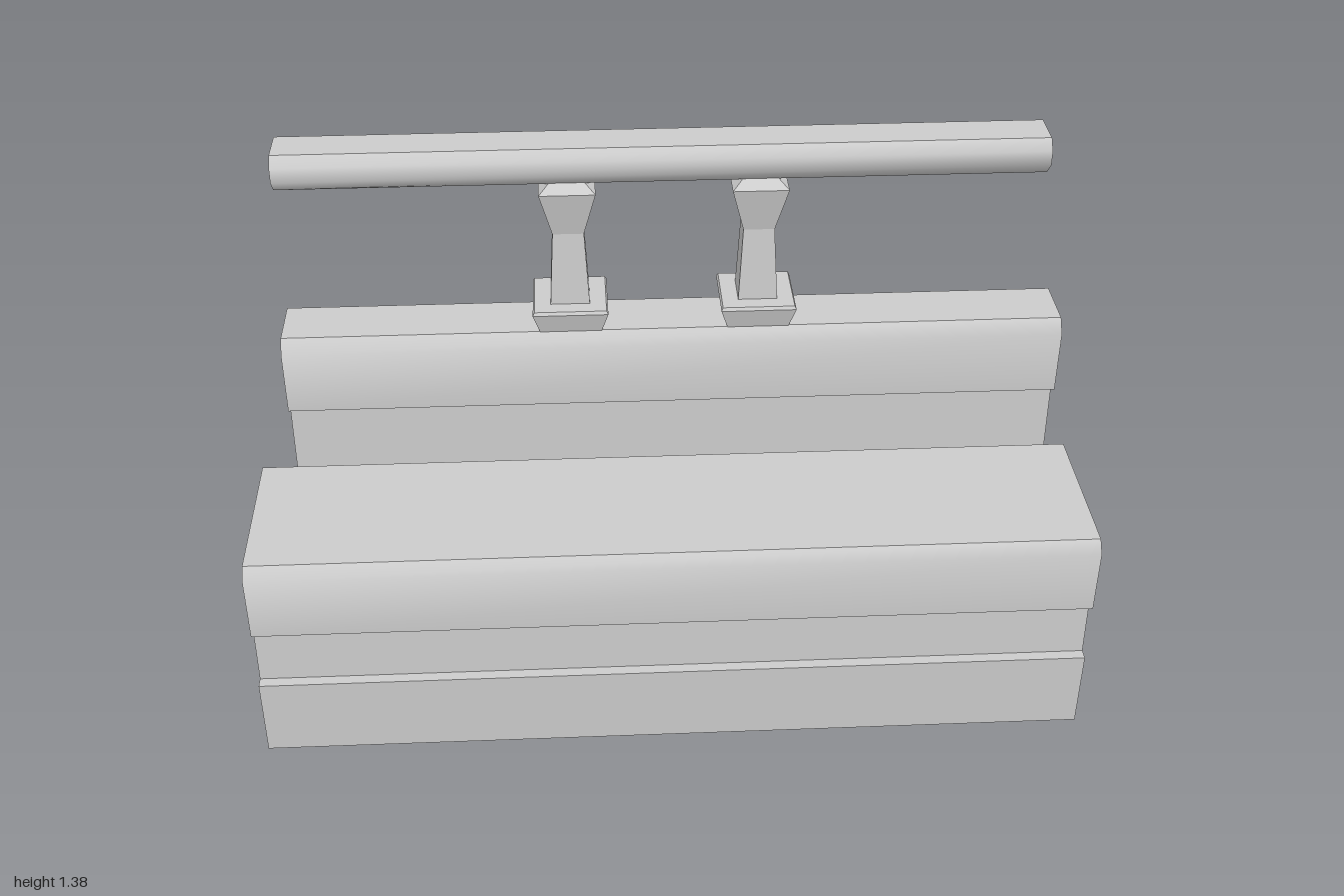
import * as THREE from 'three';
import { toCreasedNormals } from 'three/addons/utils/BufferGeometryUtils.js';

const material = new THREE.MeshStandardMaterial({ color: 0xcccccc });
const facetedMaterial = new THREE.MeshStandardMaterial({ color: 0xcccccc, flatShading: true });
const CREASE = THREE.MathUtils.degToRad(46);
const AXIS_Z = -0.211; // centre line of the back, posts and rail

// Sweeps a [z, y] side profile along x, rounding only the shallow corners
function sweep(name, profile, xMin, xMax) {
  const shape = new THREE.Shape(profile.map(([z, y]) => new THREE.Vector2(z, y)));
  const geometry = new THREE.ExtrudeGeometry(shape, { depth: xMax - xMin, bevelEnabled: false });
  geometry.rotateY(-Math.PI / 2).translate(xMax, 0, 0);
  const mesh = new THREE.Mesh(toCreasedNormals(geometry, CREASE), material);
  mesh.name = name;
  return mesh;
}

// Completes a [half depth, y] outline with its mirror image about the centre line
function mirrored(half) {
  return [
    ...half.map(([d, y]) => [AXIS_Z + d, y]),
    ...half.slice().reverse().map(([d, y]) => [AXIS_Z - d, y]),
  ];
}

// Square stepped solid from [half width, y] rings
function squareTurned(name, rings, x) {
  const points = rings.map(([r, y]) => new THREE.Vector2(r * Math.SQRT2, y));
  const geometry = new THREE.LatheGeometry(points, 4).rotateY(Math.PI / 4);
  const mesh = new THREE.Mesh(geometry, facetedMaterial);
  mesh.position.set(x, 0, AXIS_Z);
  mesh.name = name;
  return mesh;
}

export function createModel() {
  const model = new THREE.Group();
  model.name = 'steppedLedgeWithRail';

  // Heavy lower step with a recessed band along the front
  model.add(sweep('lowerStep', [
    [-0.118, 0], [0.288, 0], [0.298, 0.207], [0.27, 0.207], [0.27, 0.363],
    [0.303, 0.363], [0.311, 0.53], [0.287, 0.558], [-0.118, 0.558],
  ], -1, 1));

  // Raised ledge with an overhanging cap
  model.add(sweep('upperLedge', mirrored([
    [0.059, 0.534], [0.059, 0.72], [0.092, 0.72], [0.099, 0.882], [0.073, 0.914],
  ]), -0.92, 0.96));

  // Two flared posts on splayed feet
  for (const x of [-0.228, 0.222]) {
    const post = new THREE.Group();
    post.name = 'railPost';
    post.add(squareTurned('postFoot', [
      [0, 0.913], [0.074, 0.913], [0.09, 0.965], [0.086, 0.973], [0, 0.973],
    ], x));
    post.add(squareTurned('postShaft', [
      [0.047, 0.97], [0.037, 1.155], [0.066, 1.269], [0.04, 1.291], [0, 1.291],
    ], x));
    model.add(post);
  }

  // Long hand rail
  model.add(sweep('handRail', mirrored([
    [0.04, 1.288], [0.072, 1.32], [0.072, 1.356], [0.05, 1.38],
  ]), -0.9, 0.893));

  return model;
}
